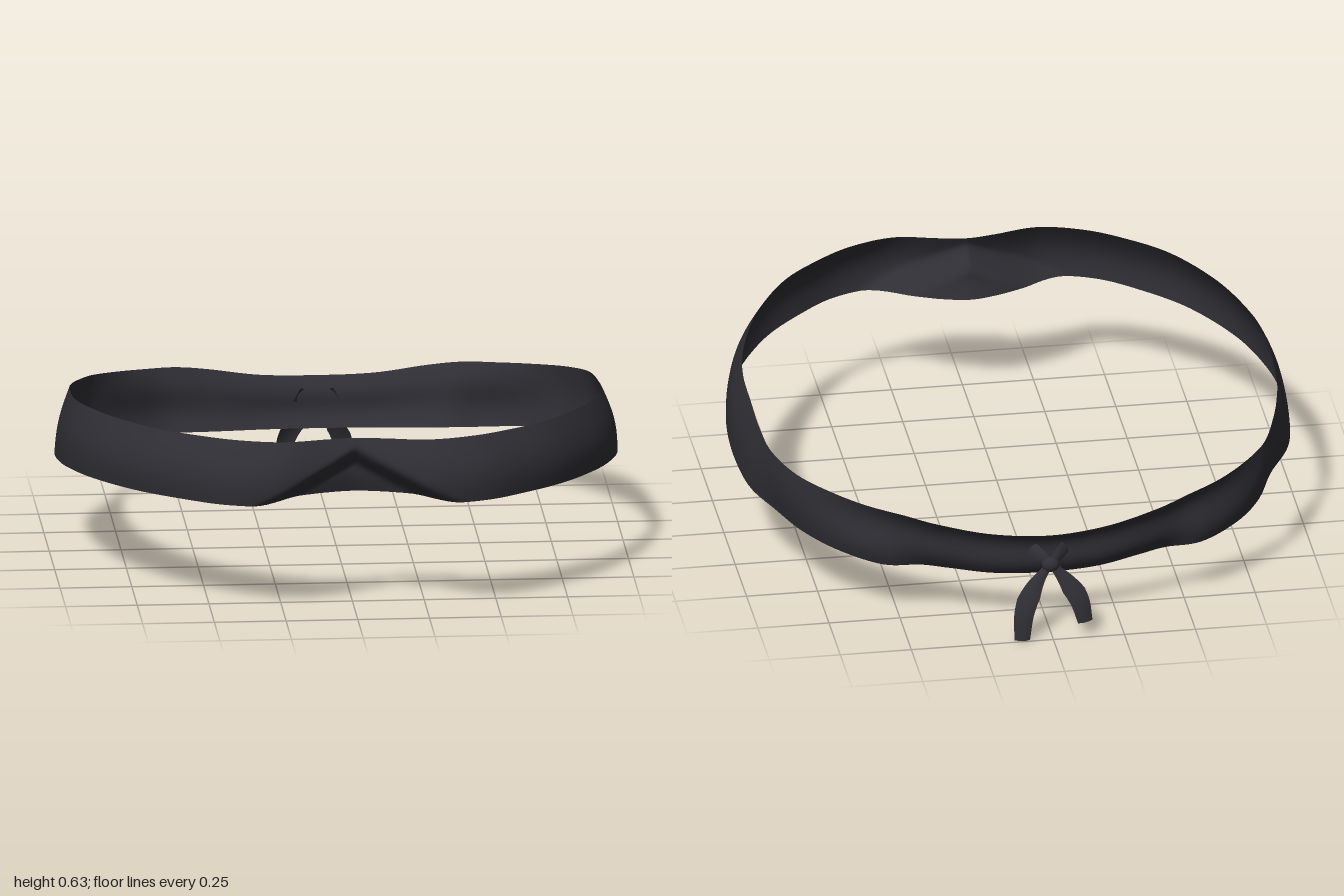
import * as THREE from 'three';

const { smoothstep, lerp } = THREE.MathUtils;
const cloth = new THREE.MeshStandardMaterial({ color: 0x2f2e34, side: THREE.DoubleSide });
cloth.name = 'charcoal cloth';

// Smooth sheet from a rule: point(u, v) -> Vector3
function sheet(name, nu, nv, closed, point) {
  const pos = [], idx = [], cols = closed ? nu : nu + 1;
  for (let i = 0; i < cols; i++)
    for (let j = 0; j <= nv; j++) pos.push(...point(i / nu, j / nv).toArray());
  for (let i = 0; i < nu; i++)
    for (let j = 0; j < nv; j++) {
      const a = i * (nv + 1) + j, b = ((i + 1) % cols) * (nv + 1) + j;
      idx.push(a, b, b + 1, a, b + 1, a + 1);
    }
  const g = new THREE.BufferGeometry();
  g.setAttribute('position', new THREE.Float32BufferAttribute(pos, 3));
  g.setIndex(idx);
  g.computeVertexNormals();
  const m = new THREE.Mesh(g, cloth);
  m.name = name;
  return m;
}

// Half outline from front to back: top edge x, z, bottom edge x, z
const outline = [
  [0, 0.89, 0, 0.91], [0.1, 0.905, 0.1, 0.93], [0.25, 0.935, 0.27, 0.985],
  [0.4, 0.895, 0.45, 0.945], [0.53, 0.815, 0.6, 0.835], [0.68, 0.68, 0.75, 0.68],
  [0.81, 0.47, 0.88, 0.46], [0.89, 0.25, 0.95, 0.25], [0.92, 0.08, 0.975, 0.08],
  [0.92, -0.1, 0.975, -0.1], [0.915, -0.27, 0.95, -0.27], [0.895, -0.41, 0.885, -0.41],
  [0.83, -0.55, 0.81, -0.55], [0.73, -0.66, 0.7, -0.67], [0.62, -0.75, 0.56, -0.755],
  [0.5, -0.82, 0.43, -0.77], [0.38, -0.87, 0.33, -0.8], [0.2, -0.905, 0.18, -0.845],
  [0, -0.925, 0, -0.86],
];

function edge(k, height) {
  const half = outline.map(r => new THREE.Vector3(r[k], height(r[k + 1]), r[k + 1]));
  const other = half.slice(1, -1).reverse().map(p => new THREE.Vector3(-p.x, p.y, p.z));
  return new THREE.CatmullRomCurve3([...half, ...other], true, 'catmullrom', 0.5);
}

// Ribbon along a path; widths at start, middle and end, across the given direction
function ribbon(name, path, across, [w0, w1, w2]) {
  const curve = new THREE.CatmullRomCurve3(path.map(p => new THREE.Vector3(...p)));
  const dir = new THREE.Vector3(...across).normalize();
  return sheet(name, 14, 4, false, (u, v) => {
    const w = u < 0.5 ? lerp(w0, w1, u * 2) : lerp(w1, w2, u * 2 - 1);
    const p = curve.getPoint(u).addScaledVector(dir, (v - 0.5) * w);
    p.z -= 0.008 * (1 - (2 * v - 1) ** 2);
    return p;
  });
}

export function createModel() {
  const group = new THREE.Group();
  group.name = 'headband';

  // Tilted loop of cloth, narrowing at the back, with a chevron fold at the front
  const top = edge(0, z => 0.567 + 0.115 * z - 0.05 * z * z - 0.045 * smoothstep(-z, 0.84, 0.925));
  const bottom = edge(2, z => 0.345 + 0.115 * z - 0.047 * z * z - 0.012 * smoothstep(-z, 0.6, 0.8));
  group.add(sheet('band', 288, 24, true, (u, v) => {
    const p = bottom.getPoint(u).lerp(top.getPoint(u), v);
    const out = new THREE.Vector3(p.x, 0, p.z).normalize();
    const front = smoothstep(p.z, -0.2, 0.8);
    const back = smoothstep(-p.z, 0.55, 0.8);
    p.addScaledVector(out, (0.012 + 0.018 * front) * Math.sin(Math.PI * v) * (1 - back));
    p.addScaledVector(out, 0.012 * back * Math.sin(2 * Math.PI * v));
    // shallow dent on the right side towards the back
    if (p.x < 0) p.addScaledVector(out, -0.025 * Math.exp(-(((p.z + 0.42) / 0.16) ** 2)));
    if (p.z > 0.6) {
      const crease = 0.61 - 0.53 * Math.abs(p.x);
      const fold = smoothstep(crease - p.y, 0, 0.1);
      p.z -= 0.085 * fold;
      p.y += 0.012 * fold * (1 - v);
    }
    return p;
  }));

  // Knot with its crossing wraps
  const knot = new THREE.Mesh(new THREE.SphereGeometry(1, 16, 10), cloth);
  knot.name = 'knot';
  knot.scale.set(0.032, 0.028, 0.024);
  knot.position.set(0, 0.268, -0.938);
  group.add(knot);
  for (const s of [-1, 1]) {
    group.add(ribbon(s < 0 ? 'rightWrap' : 'leftWrap',
      [[0, 0.27, -0.94], [s * 0.03, 0.295, -0.925], [s * 0.07, 0.315, -0.875]],
      [-s * 0.5, 0.85, -0.1], [0.025, 0.045, 0.055]));
  }

  // Hanging tails
  group.add(ribbon('rightTail',
    [[-0.008, 0.265, -0.94], [-0.055, 0.21, -0.957], [-0.095, 0.14, -0.98], [-0.114, 0.062, -0.99]],
    [-0.95, 0.1, 0.2], [0.03, 0.08, 0.054]));
  group.add(ribbon('leftTail',
    [[0.008, 0.265, -0.94], [0.06, 0.2, -0.957], [0.098, 0.11, -0.982], [0.108, 0.007, -0.99]],
    [0.95, -0.05, 0.2], [0.03, 0.08, 0.054]));
  return group;
}
